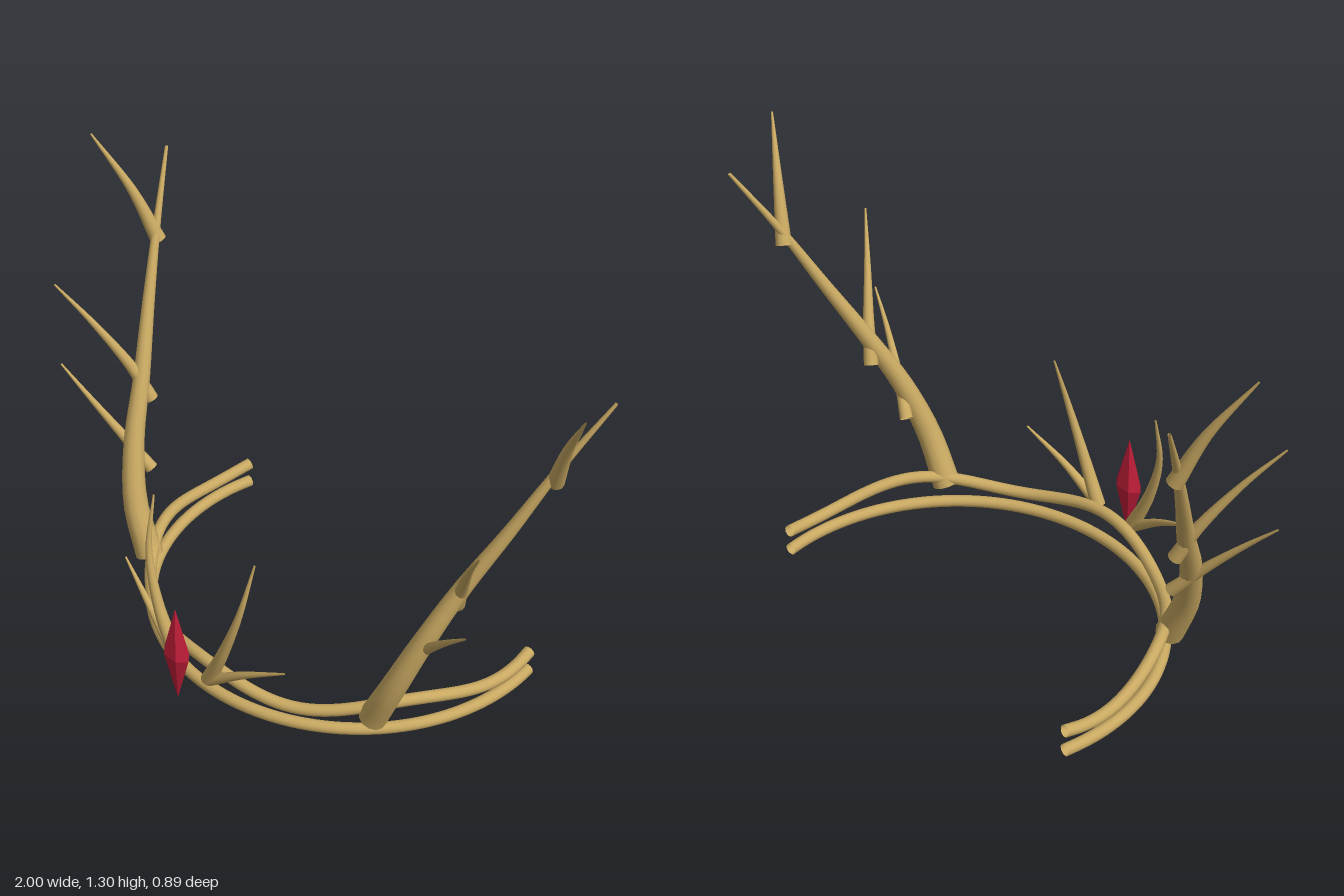
import * as THREE from 'three';

const gold = new THREE.MeshStandardMaterial({ color: 0xc9a962, side: THREE.DoubleSide });
gold.name = 'antler gold';
const red = new THREE.MeshStandardMaterial({ color: 0xc41e3a });
red.name = 'gem red';

// Open tube along a smooth path, shrinking evenly from r0 to r1
function taperedTube(name, points, r0, r1, segments = 24, sides = 12) {
  const curve = new THREE.CatmullRomCurve3(points.map(p => new THREE.Vector3(...p)));
  const geo = new THREE.TubeGeometry(curve, segments, r0, sides, false);
  const pos = geo.attributes.position;
  const v = new THREE.Vector3();
  for (let i = 0; i <= segments; i++) {
    const t = i / segments;
    const centre = curve.getPointAt(t);
    const k = THREE.MathUtils.lerp(1, r1 / r0, t);
    for (let j = 0; j <= sides; j++) {
      const n = i * (sides + 1) + j;
      v.fromBufferAttribute(pos, n).sub(centre).multiplyScalar(k).add(centre);
      pos.setXYZ(n, v.x, v.y, v.z);
    }
  }
  const mesh = new THREE.Mesh(geo, gold);
  mesh.name = name;
  return mesh;
}

// Horseshoe band, open at the back; heightAt gives y for the angle from the front
function band(name, heightAt) {
  const R = 0.64, end = THREE.MathUtils.degToRad(101), points = [];
  for (let i = 0; i <= 40; i++) {
    const a = -end + (2 * end * i) / 40;
    points.push([R * Math.sin(a), heightAt(a), -0.32 + R * Math.cos(a)]);
  }
  return taperedTube(name, points, 0.019, 0.019, 96);
}

// Paths for the model's left side: name, points, base radius, tip radius
const branches = [
  ['antlerBeam', [[0.505, 0.08, 0.095], [0.575, 0.24, 0.087], [0.635, 0.42, 0.035], [0.69, 0.6, -0.05],
    [0.765, 0.8, -0.15], [0.835, 1.0, -0.25], [0.915, 1.205, -0.367]], 0.044, 0.005],
  ['upperTine', [[0.828, 0.955, -0.25], [0.895, 1.12, -0.208], [0.998, 1.3, -0.14]], 0.025, 0.003],
  ['middleTine', [[0.665, 0.525, -0.065], [0.71, 0.63, -0.033], [0.8, 0.79, 0.042], [0.89, 0.92, 0.113]], 0.023, 0.003],
  ['lowerTine', [[0.588, 0.33, 0.006], [0.67, 0.43, 0.046], [0.78, 0.55, 0.092], [0.87, 0.64, 0.123]], 0.021, 0.003],
  ['tallFrontTine', [[0.075, 0.1, 0.355], [0.145, 0.25, 0.357], [0.2, 0.42, 0.341], [0.22, 0.594, 0.298]], 0.024, 0.003],
  ['shortFrontTine', [[0.085, 0.105, 0.357], [0.21, 0.195, 0.338], [0.355, 0.28, 0.308]], 0.019, 0.003],
];

export function createModel() {
  const model = new THREE.Group();
  model.name = 'antlerCrown';

  // Plain lower band and wavy upper band
  model.add(band('lowerBand', () => 0.02));
  model.add(band('upperBand', a => 0.1 + 0.022 * Math.cos(6 * a)));

  // Antlers and front tines, mirrored
  for (const side of [1, -1]) {
    const half = new THREE.Group();
    half.name = side > 0 ? 'leftAntler' : 'rightAntler';
    for (const [name, points, r0, r1] of branches) {
      half.add(taperedTube(name, points.map(([x, y, z]) => [side * x, y, z]), r0, r1));
    }
    model.add(half);
  }

  // Faceted gem: two six-sided points meeting at the middle
  const profile = [[0, -0.174], [1, 0], [0, 0.174]].map(([x, y]) => new THREE.Vector2(x, y));
  const gemGeo = new THREE.LatheGeometry(profile, 6, Math.PI / 2)
    .scale(0.053, 1, 0.031).toNonIndexed();
  gemGeo.computeVertexNormals();
  const gem = new THREE.Mesh(gemGeo, red);
  gem.name = 'gem';
  gem.position.set(0, 0.186, 0.413);
  model.add(gem);

  return model;
}
